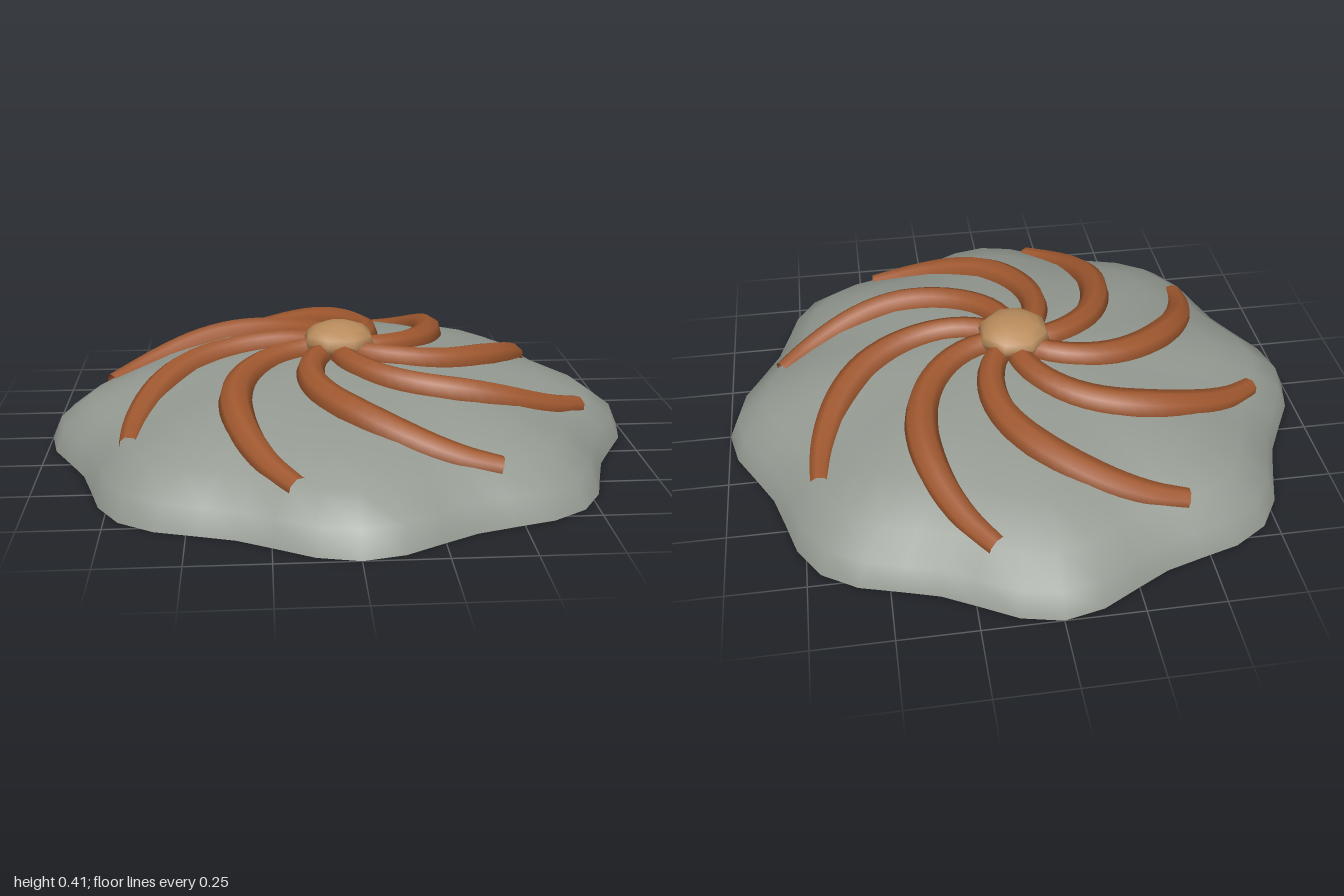
import * as THREE from 'three';
import { mergeVertices } from 'three/addons/utils/BufferGeometryUtils.js';

const HEIGHT = 0.305;
const LOBES = 8;

// Radius factor of the wavy outline at angle a
const lobe = (a) => 0.96 + 0.04 * Math.cos(LOBES * a);

// Height of the dome surface at radius r and angle a
const domeY = (r, a) => HEIGHT * Math.sqrt(Math.max(0, 1 - (r / lobe(a)) ** 2));

// Pushes a round geometry into the lobed outline
function applyLobes(geometry) {
  const p = geometry.attributes.position;
  for (let i = 0; i < p.count; i++) {
    const x = p.getX(i), z = p.getZ(i);
    const s = lobe(Math.atan2(z, x));
    p.setXYZ(i, x * s, p.getY(i), z * s);
  }
  geometry.deleteAttribute('uv');
  geometry.deleteAttribute('normal');
  const merged = mergeVertices(geometry, 1e-5);
  merged.computeVertexNormals();
  return merged;
}

// Curved rib that spirals out from the hub and sinks into the dome at its tip
function ribGeometry() {
  const points = [];
  for (let i = 0; i <= 12; i++) {
    const t = i / 12;
    const r = 0.06 + 0.76 * t;
    const a = THREE.MathUtils.degToRad(96.5 - 103 * r);
    const y = domeY(r, a) + 0.003 - 0.022 * t * t;
    points.push(new THREE.Vector3(r * Math.cos(a), y, r * Math.sin(a)));
  }
  const curve = new THREE.CatmullRomCurve3(points);
  const rings = 24, sides = 8;
  const geometry = new THREE.TubeGeometry(curve, rings, 1, sides, false);
  const p = geometry.attributes.position;
  const v = new THREE.Vector3();
  for (let i = 0; i <= rings; i++) {
    const t = i / rings;
    const c = curve.getPointAt(t);
    const width = t < 0.5
      ? THREE.MathUtils.lerp(0.042, 0.055, t * 2)
      : THREE.MathUtils.lerp(0.055, 0.036, (t * 2 - 1) ** 2);
    for (let j = 0; j <= sides; j++) {
      const k = i * (sides + 1) + j;
      v.fromBufferAttribute(p, k).sub(c).multiplyScalar(width).add(c);
      p.setXYZ(k, v.x, v.y, v.z);
    }
  }
  return geometry;
}

export function createModel() {
  const stone = new THREE.MeshStandardMaterial({ color: 0x949a92 });
  stone.name = 'grey shell';
  const rust = new THREE.MeshStandardMaterial({ color: 0xa0582f, side: THREE.DoubleSide });
  rust.name = 'rust brown';
  const tan = new THREE.MeshStandardMaterial({ color: 0xb98c5c });
  tan.name = 'tan';

  const model = new THREE.Group();
  model.name = 'lobedShield';
  const add = (name, geometry, material) => {
    const mesh = new THREE.Mesh(geometry, material);
    mesh.name = name;
    model.add(mesh);
    return mesh;
  };

  // Lobed dome
  const profile = [];
  for (let i = 0; i <= 6; i++) {
    const a = (i / 6) * Math.PI / 2;
    profile.push(new THREE.Vector2(i === 6 ? 0 : Math.cos(a), HEIGHT * Math.sin(a)));
  }
  add('dome', applyLobes(new THREE.LatheGeometry(profile, 48)), stone);

  // Flat underside
  add('underside', applyLobes(new THREE.CircleGeometry(1, 48).rotateX(Math.PI / 2)), stone);

  // Swirling ribs
  const rib = ribGeometry();
  for (let i = 0; i < LOBES; i++) {
    add('rib' + (i + 1), rib, rust).rotation.y = (i / LOBES) * Math.PI * 2;
  }

  // Central boss
  const boss = add('boss', new THREE.SphereGeometry(1, 8, 8), tan);
  boss.scale.set(0.125, 0.065, 0.125);
  boss.position.y = 0.34;
  boss.rotation.y = Math.PI / 8;

  return model;
}
